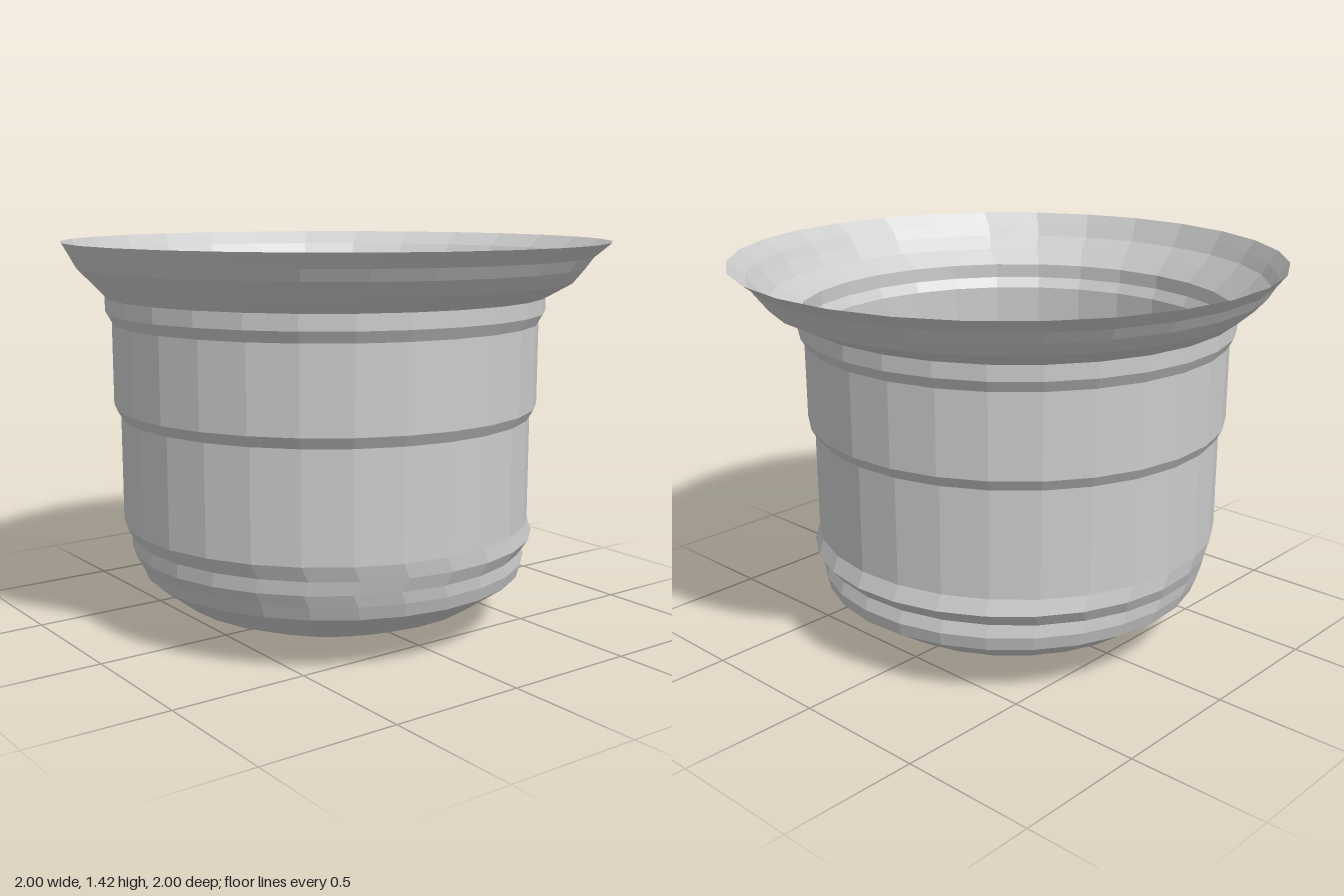
import * as THREE from 'three';

const SIDES = 28;
const PHASE = THREE.MathUtils.degToRad(-3);

// Each ring is [radius, height, sideways offset of its centre]
const bowlRings = [
  [0.245, 0, -0.025], [0.44, 0.05, -0.03], [0.57, 0.1, -0.03], [0.71, 0.2, -0.02],
];
const grooveRings = [
  [0.71, 0.2, -0.02], [0.727, 0.25, -0.025], [0.732, 0.295, -0.045],
  [0.753, 0.345, -0.023], [0.756, 0.4, -0.05],
];
const wallRings = [
  [0.756, 0.4, -0.05], [0.756, 0.79, -0.05], [0.78, 0.83, -0.05],
  [0.78, 1.13, -0.05], [0.803, 1.17, -0.05], [0.803, 1.225, -0.05],
];
const rimRings = [
  [0.803, 1.225, -0.05], [0.883, 1.28, -0.02], [0.927, 1.33, -0.025],
  [0.953, 1.37, -0.02], [1, 1.42, 0],
];

// Turn a ring list into a faceted open shell, then slide each ring sideways
function shell(name, rings, material) {
  const points = rings.map(([r, y]) => new THREE.Vector2(r, y));
  const geometry = new THREE.LatheGeometry(points, SIDES, PHASE);
  const position = geometry.attributes.position;
  for (let i = 0; i < position.count; i++) {
    position.setX(i, position.getX(i) + rings[i % rings.length][2]);
  }
  geometry.computeVertexNormals();
  const mesh = new THREE.Mesh(geometry, material);
  mesh.name = name;
  return mesh;
}

export function createModel() {
  const group = new THREE.Group();
  group.name = 'flaredPot';
  const material = new THREE.MeshStandardMaterial({
    color: 0xcccccc, flatShading: true, side: THREE.DoubleSide,
  });
  group.add(
    shell('bowlWithDrainHole', bowlRings, material),
    shell('grooveBand', grooveRings, material),
    shell('steppedWall', wallRings, material),
    shell('flaredRim', rimRings, material),
  );
  return group;
}
